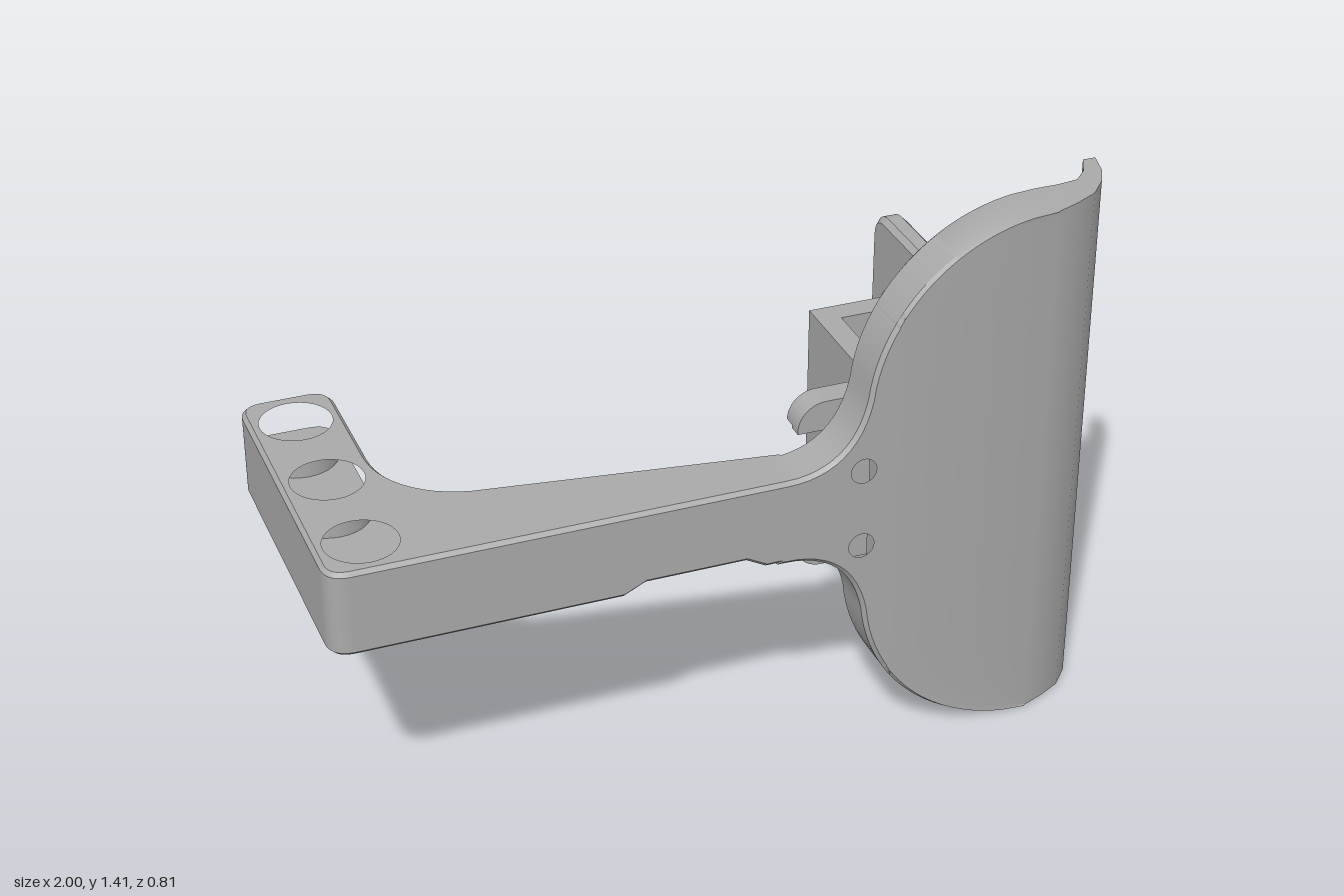
import * as THREE from 'three';
import { toCreasedNormals } from 'three/addons/utils/BufferGeometryUtils.js';

const MID = 0.705;                 // height of the symmetry plane
const ARM_LOW = 0.595, ARM_TOP = 0.82, FRONT = 0.405, BACK = 0.275;
const armBack = x => Math.min(BACK, 0.16 + (x + 0.58) * 0.147);

const grey = new THREE.MeshStandardMaterial({ color: 0xaaaaaa });
grey.name = 'grey plastic';

function add(group, name, geometry) {
  const mesh = new THREE.Mesh(toCreasedNormals(geometry, 0.5), grey);
  mesh.name = name;
  group.add(mesh);
}

// Polygon with rounded corners; each point is [x, y, radius]
function roundedShape(points) {
  const shape = new THREE.Shape();
  points.forEach(([x, y, r = 0], i) => {
    const p = new THREE.Vector2(x, y);
    const towards = q => p.clone().add(new THREE.Vector2(q[0], q[1]).sub(p).setLength(r));
    const a = towards(points.at(i - 1));
    const b = towards(points[(i + 1) % points.length]);
    if (i === 0) shape.moveTo(a.x, a.y); else shape.lineTo(a.x, a.y);
    if (r) shape.quadraticCurveTo(x, y, b.x, b.y);
  });
  shape.closePath();
  return shape;
}

function circleHole(x, y, r) {
  return new THREE.Path().absarc(x, y, r, 0, Math.PI * 2, true);
}

// Extrusion from z = 0 to z = t with chamfer b inside the outline
function extrude(shape, t, b = 0) {
  return new THREE.ExtrudeGeometry(shape, {
    depth: t - 2 * b, bevelEnabled: b > 0, bevelThickness: b, bevelSize: b,
    bevelOffset: -b, bevelSegments: 1, curveSegments: 16,
  }).translate(0, 0, b);
}

// Horizontal layer of an (x, z) outline between two heights
function layer(shape, y0, y1, b = 0) {
  return extrude(shape, y1 - y0, b).rotateX(Math.PI / 2).translate(0, y1, 0);
}

// Closed skin through rings of [x, y, z] points
function loft(rings) {
  const n = rings[0].length, last = (rings.length - 1) * n, index = [];
  for (let j = 0; j < rings.length - 1; j++) {
    for (let i = 0; i < n; i++) {
      const a = j * n + i, b = j * n + (i + 1) % n;
      index.push(a, b, b + n, a, b + n, a + n);
    }
  }
  for (let i = 0; i < n / 2 - 1; i++) {
    const a = i, b = i + 1, c = n - 2 - i, d = n - 1 - i;
    index.push(a, c, b, a, d, c);
    index.push(last + a, last + b, last + c, last + a, last + c, last + d);
  }
  const geometry = new THREE.BufferGeometry();
  geometry.setAttribute('position', new THREE.Float32BufferAttribute(rings.flat(2), 3));
  geometry.setIndex(index);
  return geometry;
}

// L-shaped foot outline in (x, z)
function footShape(holes) {
  const curve = new THREE.CubicBezierCurve(
    new THREE.Vector2(-0.58, 0.16), new THREE.Vector2(-0.70, 0.135),
    new THREE.Vector2(-0.77, 0.04), new THREE.Vector2(-0.77, -0.07));
  const shape = roundedShape([
    [-1, FRONT, 0.06], [-0.3, FRONT], [-0.3, armBack(-0.3)],
    ...curve.getPoints(12).map(p => [p.x, p.y]),
    [-0.77, -0.41, 0.06], [-1, -0.41, 0.06],
  ]);
  for (const [z, r] of holes) shape.holes.push(circleHole(-0.885, z, r));
  return shape;
}

function armRing(x, y0) {
  const b = 0.01, y1 = ARM_TOP, zb = armBack(x), zf = FRONT;
  return [[y0, zf - b], [y0, zb + b], [y0 + b, zb], [y1 - b, zb],
    [y1, zb + b], [y1, zf - b], [y1 - b, zf], [y0 + b, zf]].map(([y, z]) => [x, y, z]);
}

// Flared neck between arm and paddle, with two screw holes
function neckShape() {
  const fillet = new THREE.CubicBezierCurve(
    new THREE.Vector2(0.12, ARM_TOP), new THREE.Vector2(0.23, ARM_TOP),
    new THREE.Vector2(0.30, 0.88), new THREE.Vector2(0.3245, 1.0)).getPoints(12);
  const upper = [new THREE.Vector2(0.1, ARM_TOP), ...fillet];
  for (let i = 1; i <= 8; i++) {
    const a = Math.PI - 0.105 - 0.525 * i / 8;
    upper.push(new THREE.Vector2(0.78 + 0.458 * Math.cos(a), 0.952 + 0.458 * Math.sin(a)));
  }
  const lower = upper.map(p => new THREE.Vector2(p.x, 2 * MID - p.y)).reverse();
  const shape = new THREE.Shape([...upper, ...lower]);
  for (const s of [-1, 1]) shape.holes.push(circleHole(0.315, MID + s * 0.105, 0.043));
  return shape;
}

// Horizontal section through the paddle: half-round edge, ribbed back, curled lip
function paddleRing(y) {
  const d = Math.abs(y - MID);
  const rise = Math.max(0, d - 0.247);
  const xl = Math.max(0.385, 0.78 - Math.sqrt(Math.max(0, 0.458 ** 2 - rise ** 2)));
  const ribbed = d > 0.26 && d < 0.69;
  const zg = BACK + (ribbed ? 0.022 * (1 - Math.abs(Math.sin(Math.PI * (d - 0.26) / 0.043))) : 0);
  const front = [[xl, FRONT - 0.01], [xl + 0.01, FRONT], [0.79, FRONT - 0.003], [0.85, 0.378],
    [0.91, 0.347], [0.955, 0.297], [0.983, 0.245], [1, 0.178]];
  const back = [[xl, BACK + 0.01], [xl + 0.01, BACK], [xl + 0.02, zg], [0.85, zg],
    [0.853, BACK], [0.905, 0.268], [0.94, 0.232], [0.967, 0.178]];
  return [...front, ...back.reverse()].map(([x, z]) => [x, y, z]);
}

// Forked bracket foot with two slots open to one side
function forkShape(hw) {
  const x0 = 0.2, x1 = 0.44, top = 0.938, low = 0.476, r = 0.07;
  const s = new THREE.Shape();
  s.moveTo(x1, low);
  s.lineTo(x1, top);
  s.lineTo(x0 + r, top);
  s.absarc(x0 + r, top - r, r, Math.PI / 2, Math.PI, false);
  for (const y of [MID + 0.105, MID - 0.105]) {
    s.lineTo(x0, y + hw);
    s.lineTo(0.315, y + hw);
    s.absarc(0.315, y, hw, Math.PI / 2, -Math.PI / 2, true);
    s.lineTo(x0, y - hw);
  }
  s.lineTo(x0, low + r);
  s.absarc(x0 + r, low + r, r, Math.PI, Math.PI * 1.5, false);
  s.closePath();
  return s;
}

export function createModel() {
  const model = new THREE.Group();
  model.name = 'bracketed paddle';

  // Foot: counterbores on top, five small holes underneath
  const foot = new THREE.Group();
  foot.name = 'foot';
  const three = r => [-0.285, 0, 0.285].map(z => [z, r]);
  const blind = [[-0.1425, 0.04], [0.1425, 0.04]];
  add(foot, 'footTop', layer(footShape(three(0.1)), 0.71, ARM_TOP, 0.01));
  add(foot, 'footMiddle', layer(footShape(three(0.05)), 0.65, 0.72));
  add(foot, 'footBottom', layer(footShape([...three(0.05), ...blind]), ARM_LOW, 0.66, 0.01));
  model.add(foot);

  // Arm with a shallow notch underneath
  const notch = ARM_LOW + 0.027;
  add(model, 'arm', loft([[-0.32, ARM_LOW], [-0.29, ARM_LOW], [-0.235, notch], [0.02, notch],
    [0.07, ARM_LOW], [0.15, ARM_LOW]].map(([x, y]) => armRing(x, y))));

  add(model, 'neck', extrude(neckShape(), FRONT - BACK, 0.01).translate(0, 0, BACK));

  // Ribbed paddle
  const rows = 328;
  add(model, 'paddle', loft(Array.from({ length: rows + 1 }, (_, i) => paddleRing(2 * MID * i / rows))));

  // Stepped bracket behind the paddle
  const bracket = new THREE.Group();
  bracket.name = 'bracket';
  add(bracket, 'forkFront', extrude(forkShape(0.05), 0.037).translate(0, 0, 0.235));
  add(bracket, 'forkBack', extrude(forkShape(0.075), 0.03).translate(0, 0, 0.205));
  add(bracket, 'step', layer(roundedShape([[0.41, 0.272], [0.47, 0.272], [0.47, -0.092],
    [0.7, -0.092], [0.7, -0.155], [0.41, -0.155]]), 0.476, 0.938));
  const pad = roundedShape([[0.085, 0.355, 0.07], [0.388, 0.355, 0.07],
    [0.388, 1.06, 0.07], [0.085, 1.06, 0.07]]);
  add(bracket, 'endPad', extrude(pad, 0.065, 0.014).rotateY(Math.PI / 2).translate(0.685, 0, 0));
  model.add(bracket);

  return model;
}
